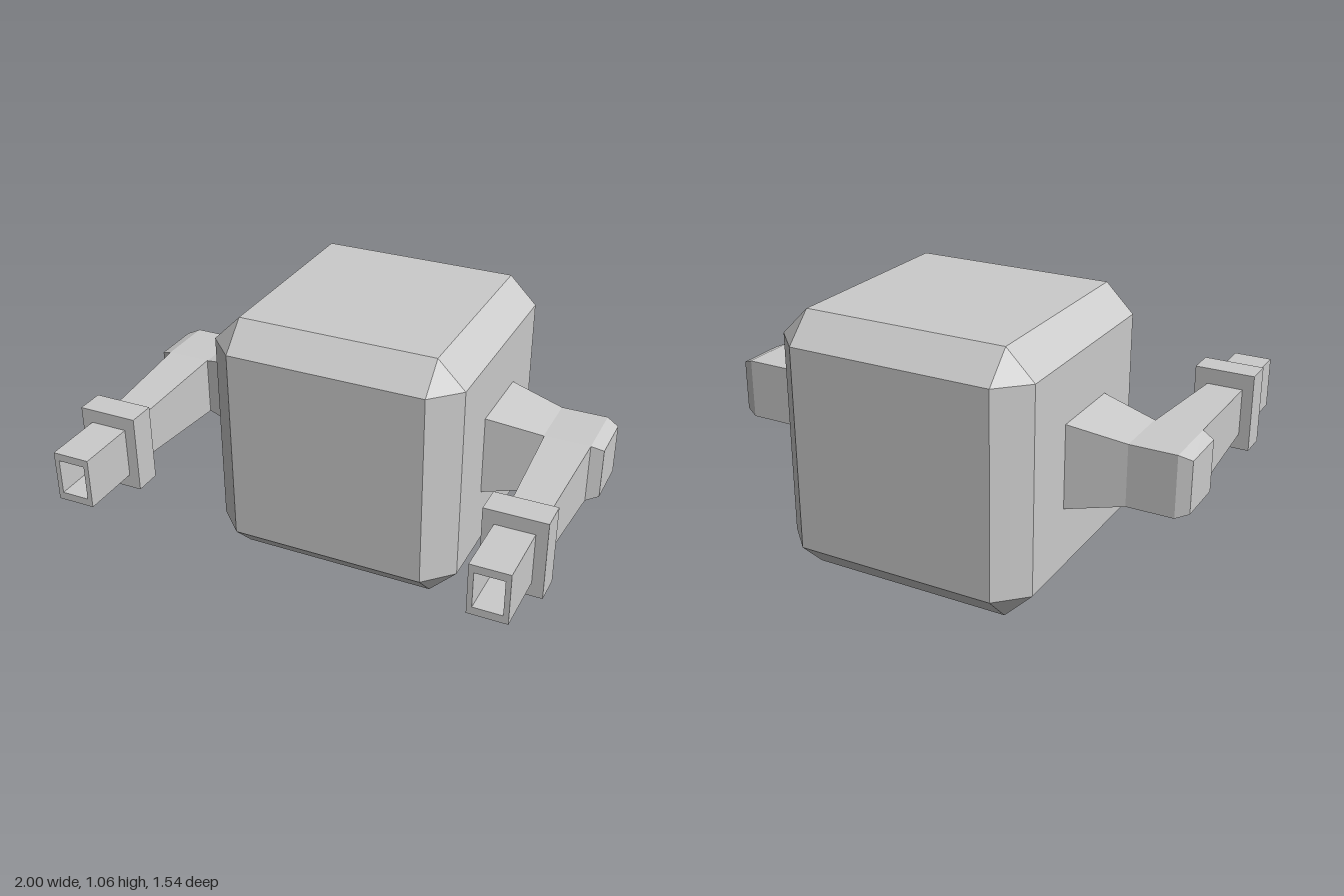
import * as THREE from 'three';
import { ConvexGeometry } from 'three/addons/geometries/ConvexGeometry.js';

const material = new THREE.MeshStandardMaterial({ color: 0xcccccc, flatShading: true });

function addMesh(parent, name, geometry, x = 0, y = 0, z = 0) {
  const mesh = new THREE.Mesh(geometry, material);
  mesh.name = name;
  mesh.position.set(x, y, z);
  parent.add(mesh);
  return mesh;
}

// Cube with every edge and corner bevelled: half size h, flat faces reach out to f
function bevelledCube(h, f) {
  const points = [];
  for (const a of [-1, 1]) for (const b of [-1, 1]) for (const c of [-1, 1]) {
    points.push(
      new THREE.Vector3(a * h, b * f, c * f),
      new THREE.Vector3(a * f, b * h, c * f),
      new THREE.Vector3(a * f, b * f, c * h));
  }
  return new ConvexGeometry(points);
}

// Solid spanned by boxes given as [x0, x1, y0, y1, z0, z1]; a flat box is a cross-section
function hull(side, ...boxes) {
  const points = [];
  for (const [x0, x1, y0, y1, z0, z1] of boxes)
    for (const x of new Set([x0, x1])) for (const y of new Set([y0, y1])) for (const z of new Set([z0, z1]))
      points.push(new THREE.Vector3(side * x, y, z));
  return new ConvexGeometry(points);
}

// Square tube open at the front
function barrelGeometry(w, h, holeW, holeH, depth) {
  const rect = (path, a, b) => path.moveTo(-a / 2, -b / 2).lineTo(a / 2, -b / 2)
    .lineTo(a / 2, b / 2).lineTo(-a / 2, b / 2).closePath();
  const shape = new THREE.Shape();
  rect(shape, w, h);
  const hole = new THREE.Path();
  rect(hole, holeW, holeH);
  shape.holes.push(hole);
  return new THREE.ExtrudeGeometry(shape, { depth, bevelEnabled: false });
}

function createArm(side) {
  const arm = new THREE.Group();
  arm.name = side > 0 ? 'leftArm' : 'rightArm';

  // Upper arm tapering out of the body
  addMesh(arm, 'shoulder', hull(side,
    [0.53, 0.53, 0.36, 0.705, -0.408, -0.067],
    [0.76, 0.76, 0.408, 0.659, -0.363, -0.113]));

  // Square elbow with a bevelled outer end
  addMesh(arm, 'elbow', hull(side,
    [0.76, 0.95, 0.408, 0.659, -0.363, -0.113],
    [1, 1, 0.428, 0.639, -0.342, -0.133]));

  // Forearm narrowing forwards
  addMesh(arm, 'forearm', hull(side,
    [0.763, 0.95, 0.408, 0.659, -0.113, -0.113],
    [0.783, 0.93, 0.436, 0.63, 0.4, 0.4]));

  // Collar and hollow barrel
  addMesh(arm, 'collar', new THREE.BoxGeometry(0.246, 0.325, 0.115), side * 0.852, 0.533, 0.453);
  addMesh(arm, 'barrel', barrelGeometry(0.155, 0.21, 0.114, 0.146, 0.257), side * 0.852, 0.533, 0.51);
  return arm;
}

export function createModel() {
  const model = new THREE.Group();
  model.name = 'cubeRobot';
  addMesh(model, 'body', bevelledCube(0.532, 0.417), 0, 0.532, -0.236);
  for (const side of [1, -1]) model.add(createArm(side));
  return model;
}
